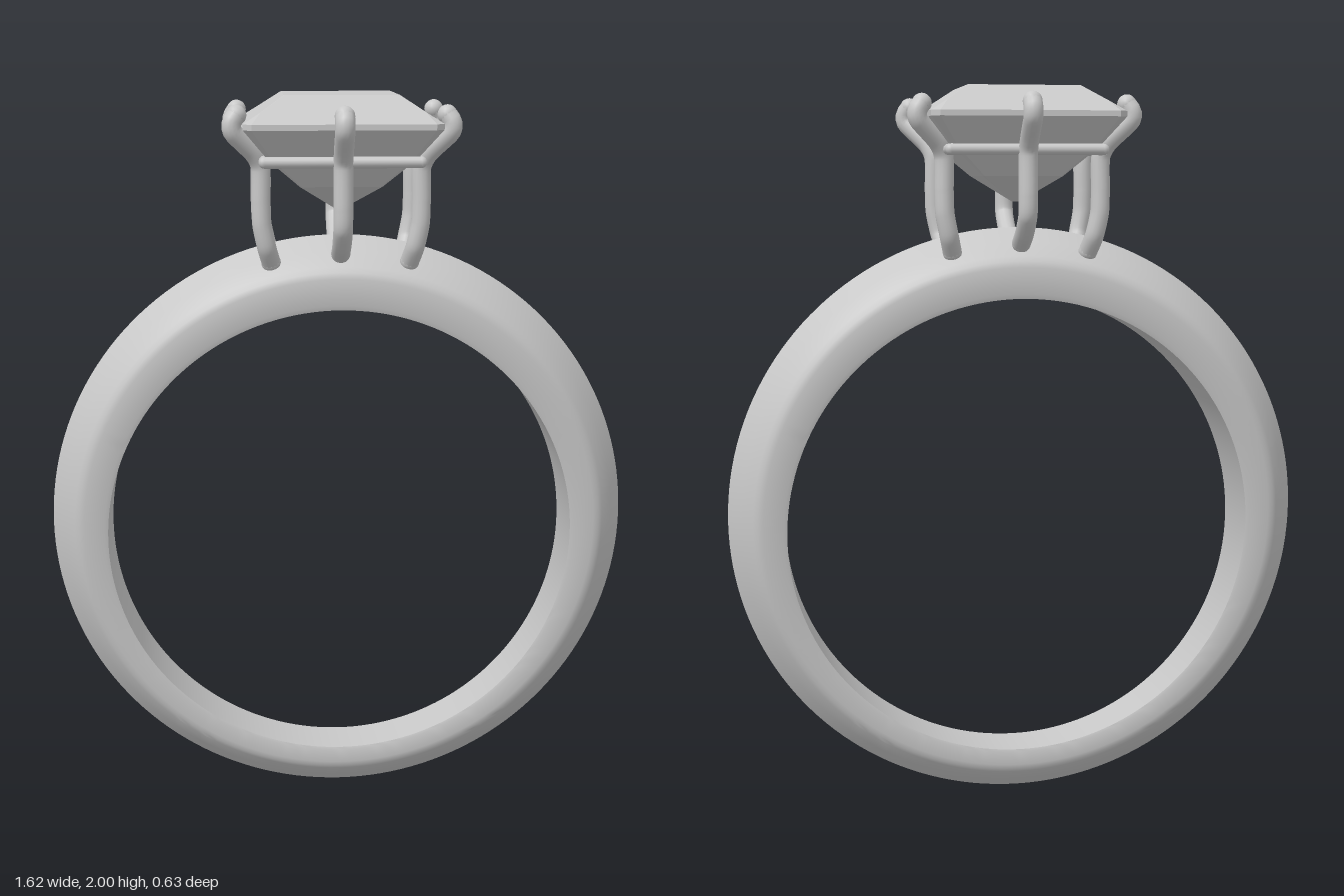
import * as THREE from 'three';
import { toCreasedNormals } from 'three/addons/utils/BufferGeometryUtils.js';

// Joins rings of points into a surface; point(i, j) is point i of ring j
function loft(count, rings, closed, point) {
  const pos = [], index = [];
  for (let j = 0; j < rings; j++)
    for (let i = 0; i < count; i++) pos.push(...point(i, j));
  const strips = closed ? rings : rings - 1;
  for (let j = 0; j < strips; j++) {
    for (let i = 0; i < count; i++) {
      const n = (i + 1) % count, k = (j + 1) % rings;
      const a = j * count + i, b = j * count + n, c = k * count + i, d = k * count + n;
      index.push(a, b, c, b, d, c);
    }
  }
  if (!closed) { // flat end caps
    const top = (rings - 1) * count;
    for (let i = 1; i < count - 1; i++) {
      index.push(0, i + 1, i);
      index.push(top, top + i, top + i + 1);
    }
  }
  const g = new THREE.BufferGeometry();
  g.setAttribute('position', new THREE.Float32BufferAttribute(pos, 3));
  g.setIndex(index);
  return g;
}

// Knife-edged band, wider towards the top
function bandGeometry() {
  // radius, centre height, share of the half width
  const half = [
    [0.81, 0.81, 0], [0.775, 0.807, 0.5], [0.742, 0.804, 0.88], [0.73, 0.802, 0.96],
    [0.715, 0.80, 1], [0.66, 0.783, 0.98], [0.65, 0.78, 0.95],
  ];
  const profile = [...half, ...half.slice(1).reverse().map(([r, c, w]) => [r, c, -w])];
  const geo = loft(160, profile.length, true, (i, j) => {
    const t = (i / 160) * Math.PI * 2, [r, c, w] = profile[j];
    const width = 0.075 + (0.80 + 0.72 * Math.sin(t) - 0.08) * 0.045;
    return [r * Math.cos(t), c + r * Math.sin(t), w * width];
  });
  return toCreasedNormals(geo, 0.5);
}

// Square step-cut stone with clipped corners
function stoneGeometry() {
  // height, half width, half depth, corner cut
  const rings = [
    [1.69, 0.008, 0.015, 0.002], [1.76, 0.11, 0.13, 0.005], [1.835, 0.195, 0.195, 0.012],
    [1.915, 0.26, 0.26, 0.022], [1.93, 0.26, 0.26, 0.022], [1.958, 0.215, 0.215, 0.001],
    [2.0, 0.152, 0.152, 0.001],
  ];
  const geo = loft(8, rings.length, false, (i, j) => {
    const [y, w, d, c] = rings[j];
    const corners = [
      [w, -d + c], [w - c, -d], [-w + c, -d], [-w, -d + c],
      [-w, d - c], [-w + c, d], [w - c, d], [w, d - c],
    ];
    return [corners[i][0], y, corners[i][1]];
  }).toNonIndexed();
  geo.computeVertexNormals();
  return geo;
}

export function createModel() {
  const metal = new THREE.MeshStandardMaterial({ color: 0xc8c8c8 });
  metal.name = 'silver grey';
  const model = new THREE.Group();
  model.name = 'ring';
  const add = (parent, geo, name) => {
    const mesh = new THREE.Mesh(geo, metal);
    mesh.name = name;
    parent.add(mesh);
    return mesh;
  };

  add(model, bandGeometry(), 'band');
  add(model, stoneGeometry(), 'stone');

  // Bent wire prongs with rounded ends
  const addProng = (points, name) => {
    const prong = new THREE.Group();
    prong.name = name;
    const path = points.map((p) => new THREE.Vector3(...p));
    const curve = new THREE.CatmullRomCurve3(path, false, 'catmullrom', 0.35);
    add(prong, new THREE.TubeGeometry(curve, 48, 0.026, 14), 'wire');
    for (const end of [path[0], path[path.length - 1]])
      add(prong, new THREE.SphereGeometry(0.0265, 16, 10), 'roundedEnd').position.copy(end);
    model.add(prong);
  };
  for (const s of [1, -1]) {
    const side = s > 0 ? 'front' : 'back';
    addProng([
      [0, 1.58, 0.10], [0, 1.61, 0.155], [0, 1.655, 0.205], [0, 1.71, 0.212],
      [0, 1.82, 0.212], [0, 1.86, 0.235], [0, 1.91, 0.287], [0, 1.935, 0.29], [0, 1.952, 0.276],
    ].map(([x, y, z]) => [x, y, z * s]), side + 'MiddleProng');
    for (const m of [1, -1]) {
      addProng([
        [0.188, 1.555, 0.085], [0.20, 1.60, 0.115], [0.212, 1.66, 0.122], [0.214, 1.72, 0.122],
        [0.214, 1.81, 0.122], [0.232, 1.85, 0.135], [0.285, 1.905, 0.166],
        [0.289, 1.93, 0.168], [0.276, 1.95, 0.161],
      ].map(([x, y, z]) => [x * m, y, z * s]), side + (m > 0 ? 'Left' : 'Right') + 'Prong');
    }
  }

  // Square rail under the stone
  const rail = new THREE.Group();
  rail.name = 'galleryRail';
  for (let k = 0; k < 4; k++) {
    const arm = new THREE.Group();
    arm.name = 'railSide';
    arm.rotation.y = (k * Math.PI) / 2;
    const bar = add(arm, new THREE.CylinderGeometry(0.015, 0.015, 0.41, 12), 'railBar');
    bar.rotation.z = Math.PI / 2;
    bar.position.set(0, 1.83, 0.205);
    add(arm, new THREE.SphereGeometry(0.015, 12, 8), 'railCorner').position.set(0.205, 1.83, 0.205);
    rail.add(arm);
  }
  model.add(rail);
  return model;
}
